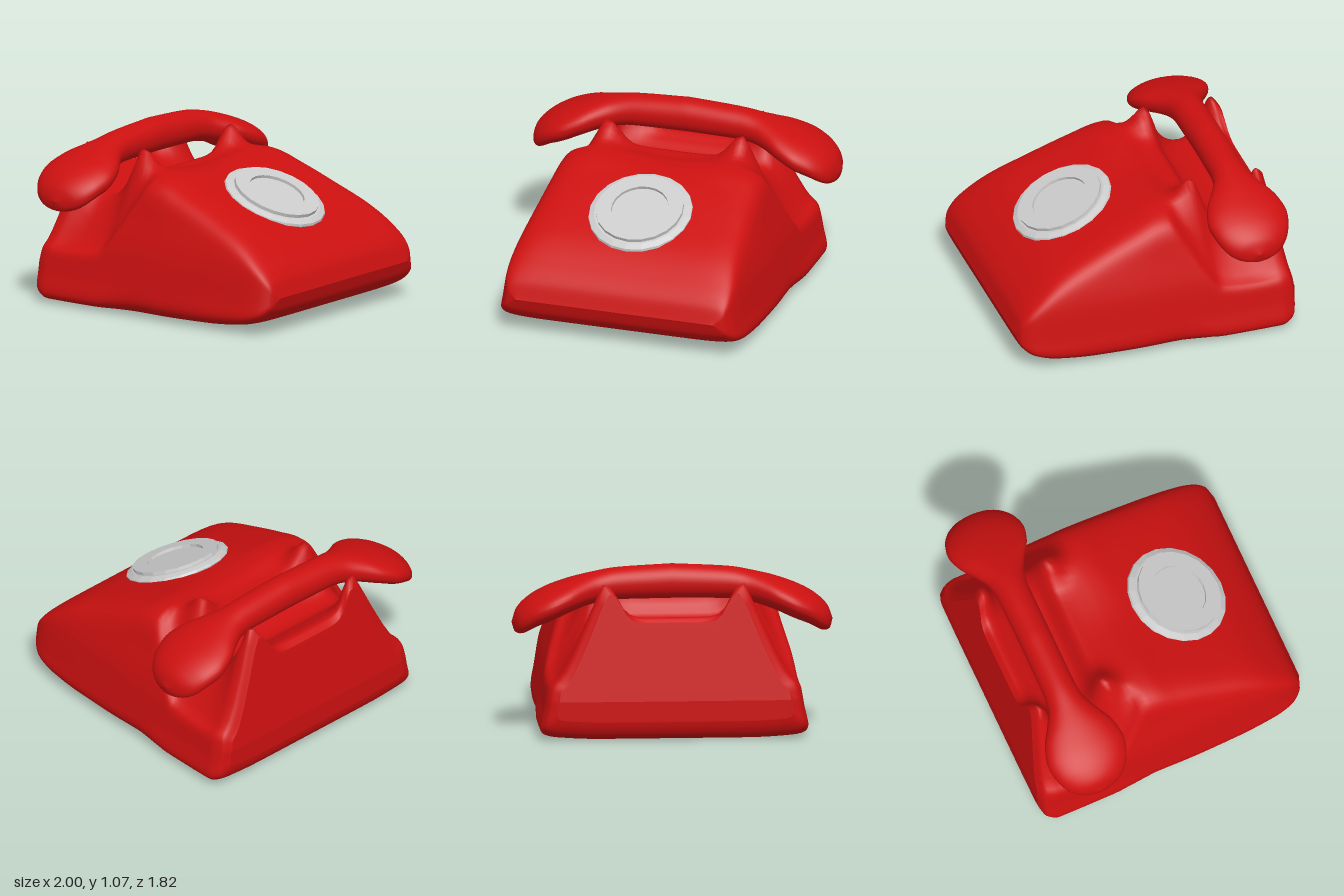
import * as THREE from 'three';

const red = new THREE.MeshStandardMaterial({ color: 0xcc1010 });
const grey = new THREE.MeshStandardMaterial({ color: 0xcccccc, flatShading: true, side: THREE.DoubleSide });
const { smoothstep, lerp, clamp } = THREE.MathUtils;

// Smooth curve through [position, value] pairs sorted by rising position
function sample(pts, x) {
  const n = pts.length - 1;
  x = clamp(x, pts[0][0], pts[n][0]);
  let i = 0;
  while (i < n - 1 && x > pts[i + 1][0]) i++;
  const step = (k) => (pts[k + 1][1] - pts[k][1]) / (pts[k + 1][0] - pts[k][0]);
  const tangent = (k) => {
    if (k === 0) return step(0);
    if (k === n) return step(n - 1);
    const a = step(k - 1), b = step(k);
    return a * b <= 0 ? 0 : (2 * a * b) / (a + b);
  };
  const w = pts[i + 1][0] - pts[i][0], t = (x - pts[i][0]) / w;
  const t2 = t * t, t3 = t2 * t;
  return (2 * t3 - 3 * t2 + 1) * pts[i][1] + (t3 - 2 * t2 + t) * w * tangent(i)
    + (3 * t2 - 2 * t3) * pts[i + 1][1] + (t3 - t2) * w * tangent(i + 1);
}

// Skin over a list of closed rings of [x, y, z] points
function loft(rings) {
  const m = rings[0].length, index = [];
  for (let i = 0; i < rings.length - 1; i++) {
    for (let j = 0; j < m; j++) {
      const a = i * m + j, b = i * m + (j + 1) % m;
      index.push(a, a + m, b, b, a + m, b + m);
    }
  }
  const g = new THREE.BufferGeometry();
  g.setAttribute('position', new THREE.Float32BufferAttribute(rings.flat(2), 3));
  g.setIndex(index);
  g.computeVertexNormals();
  return g;
}

// Body profiles along z: shared sloping front, shoulders and cradle behind it
const front = [[-0.13, 0.865], [-0.07, 0.86], [0.1, 0.8], [0.35, 0.7], [0.6, 0.585], [0.77, 0.46], [0.87, 0.35], [0.91, 0.24]];
const shoulder = [[-0.91, 0.34], [-0.87, 0.38], [-0.6, 0.39], [-0.42, 0.41], [-0.33, 0.53], [-0.22, 0.74], ...front];
const cradle = [[-0.91, 0.73], [-0.87, 0.76], [-0.75, 0.72], [-0.6, 0.66], [-0.42, 0.7], [-0.34, 0.82], [-0.25, 0.84], ...front];
const underside = [[-0.91, 0.12], [-0.9, 0.08], [-0.87, 0.03], [-0.8, 0], [0, 0], [0.4, 0.01], [0.65, 0.035], [0.8, 0.08], [0.88, 0.15], [0.91, 0.24]];
// Half-width by height, and its scale along z
const halfWidth = [[0, 0.825], [0.04, 0.84], [0.2, 0.81], [0.4, 0.775], [0.65, 0.7], [0.8, 0.66], [0.87, 0.635], [1, 0.63]];
const planScale = [[-0.91, 0.9], [-0.88, 0.97], [-0.8, 1], [0, 1], [0.4, 0.985], [0.7, 0.96], [0.8, 0.94], [0.88, 0.89], [0.91, 0.8]];

// Height of the top at c (-1..1 across) and z, with four cradle prongs
function topHeight(c, z) {
  const a = Math.abs(c);
  const bump = (z0, sc, sz) => Math.exp(-(((a - 0.7) / sc) ** 2) - ((z - z0) / sz) ** 2);
  const base = lerp(sample(cradle, z), sample(shoulder, z), smoothstep(a, 0.72, 0.95));
  const dip = 0.03 * (1 - smoothstep(a, 0, 0.7)) * (1 - smoothstep(z, -0.1, 0.15)) * smoothstep(z, -0.4, -0.2);
  return base - dip + 0.16 * bump(-0.33, 0.17, 0.1) + 0.21 * bump(-0.87, 0.18, 0.11);
}

function bodyGeometry() {
  const side = 28, rows = 96, capRows = 8, square = [];
  // Rounded square, anticlockwise from the lower right corner
  for (let k = 0; k < 4; k++) {
    for (let j = 0; j < side; j++) {
      const u = -1 + (2 * j) / side;
      const [p, q] = [[1, u], [-u, 1], [-1, -u], [u, -1]][k];
      const r = (Math.abs(p) ** 8 + Math.abs(q) ** 8) ** (-1 / 8);
      square.push([p * r, q * r]);
    }
  }
  const ring = (z, shrink) => square.map(([c, s]) => {
    const low = sample(underside, z);
    const full = low + ((topHeight(c, z) - low) * (s + 1)) / 2;
    const x = c * sample(halfWidth, full) * sample(planScale, z);
    const y = lerp(full, 0.25, shrink);
    // the back wall leans forward
    const lean = Math.max(0, y - 0.25) * 0.15 * (1 - smoothstep(z, -0.91, -0.4));
    return [x, y, z + lean];
  });
  const rings = [];
  for (let i = 0; i <= rows; i++) rings.push(ring(0.91 * Math.cos((Math.PI * i) / rows), 0));
  for (let i = 1; i <= capRows; i++) rings.push(ring(-0.91, i / capRows));
  return loft(rings);
}

// Handset: elliptical sections along x, swelling into the two cups
function handsetGeometry() {
  const top = [[0, 1.065], [0.35, 1.045], [0.55, 1.005], [0.75, 0.94], [0.85, 0.893], [0.92, 0.845], [0.97, 0.79], [1, 0.71]];
  const bottom = [[0, 0.85], [0.35, 0.845], [0.5, 0.82], [0.65, 0.77], [0.75, 0.725], [0.85, 0.685], [0.95, 0.64], [0.98, 0.65], [1, 0.71]];
  const depth = [[0, 0.103], [0.35, 0.105], [0.45, 0.12], [0.55, 0.17], [0.65, 0.23], [0.76, 0.257], [0.85, 0.237], [0.92, 0.195], [0.97, 0.125], [1, 0]];
  const rows = 80, sides = 40, rings = [];
  for (let i = 0; i <= rows; i++) {
    const x = Math.cos((Math.PI * i) / rows), a = Math.abs(x);
    const hi = sample(top, a), lo = sample(bottom, a), w = sample(depth, a);
    rings.push(Array.from({ length: sides }, (_, j) => {
      const t = (2 * Math.PI * j) / sides, cy = Math.cos(t);
      const v = cy < 0 ? -(Math.abs(cy) ** 0.85) : cy;
      return [x, (hi + lo) / 2 + (v * (hi - lo)) / 2, -0.592 + w * Math.sin(t)];
    }));
  }
  return loft(rings);
}

// Dial: stepped ring with a recessed centre
function dialGeometry() {
  const profile = [[0.31, -0.03], [0.33, 0], [0.325, 0.015], [0.29, 0.03], [0.275, 0.03], [0.275, 0.052], [0.18, 0.052], [0.18, 0.033], [0, 0.033]];
  return new THREE.LatheGeometry(profile.map(([r, y]) => new THREE.Vector2(r, y)), 20);
}

export function createModel() {
  const model = new THREE.Group();
  model.name = 'telephone';
  const add = (name, geometry, material) => {
    const mesh = new THREE.Mesh(geometry, material);
    mesh.name = name;
    model.add(mesh);
    return mesh;
  };
  add('body', bodyGeometry(), red);
  add('handset', handsetGeometry(), red);
  const dial = add('dial', dialGeometry(), grey);
  dial.position.set(0, 0.685, 0.365);
  dial.rotation.x = 0.41;
  return model;
}
